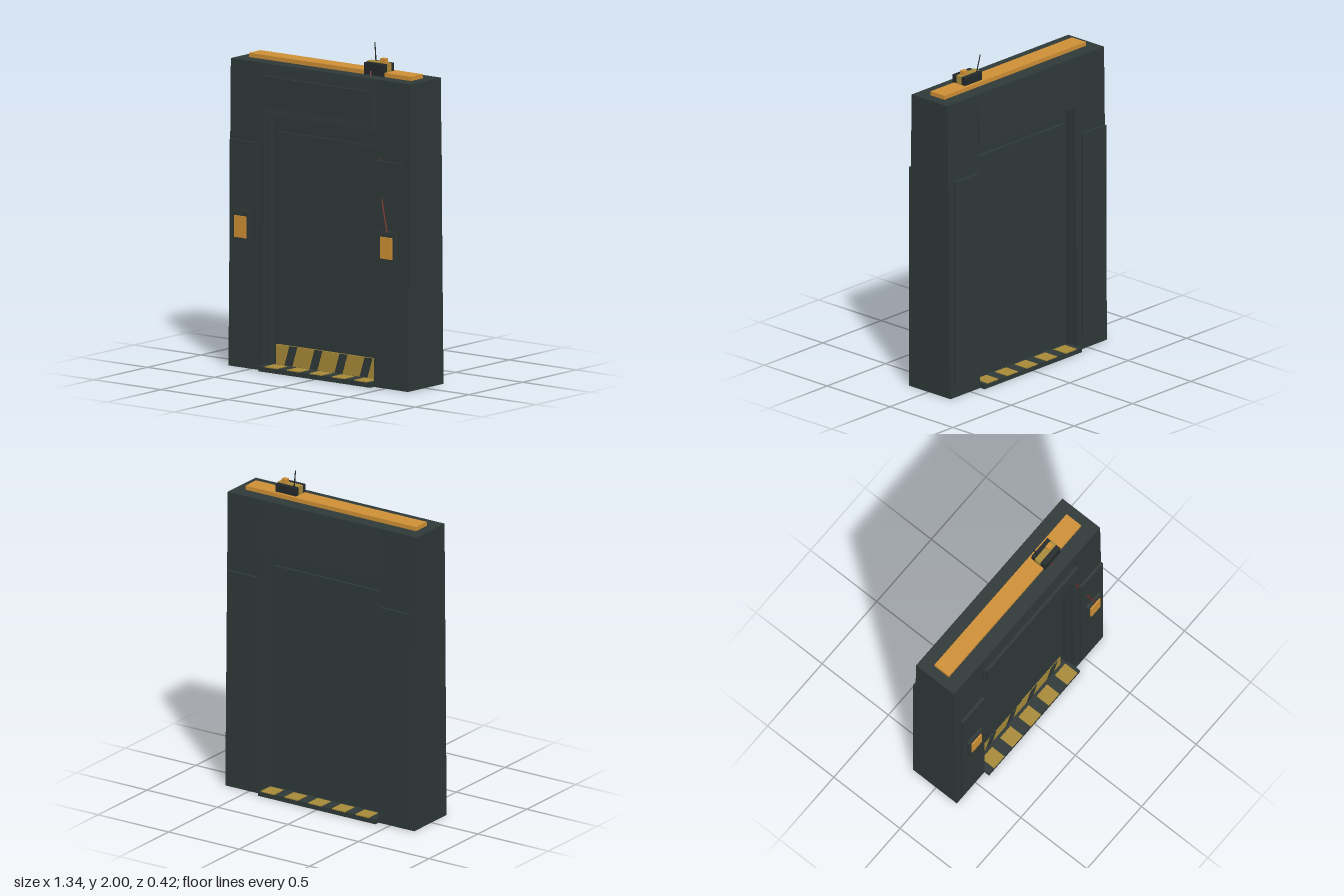
import * as THREE from 'three';

const mat = (name, color) => {
  const m = new THREE.MeshStandardMaterial({ color });
  m.name = name;
  return m;
};

export function createModel() {
  const root = new THREE.Group();
  root.name = 'liftDoorway';
  const steel = mat('darkSteel', 0x2f3938);
  const black = mat('blackPlastic', 0x23292b);
  const orange = mat('orangeLamp', 0xcf9035);
  const yellow = mat('hazardYellow', 0xa88a38);
  const red = mat('redCable', 0x73302a);

  const add = (name, geometry, material) => {
    const mesh = new THREE.Mesh(geometry, material);
    mesh.name = name;
    root.add(mesh);
    return mesh;
  };
  // Box given by its min and max on each axis
  const box = (name, material, x0, x1, y0, y1, z0, z1) => {
    const mesh = add(name, new THREE.BoxGeometry(x1 - x0, y1 - y0, z1 - z0), material);
    mesh.position.set((x0 + x1) / 2, (y0 + y1) / 2, (z0 + z1) / 2);
    return mesh;
  };
  // Side profile in (z, y), swept along x
  const prism = (name, material, x0, x1, profile) => {
    const shape = new THREE.Shape(profile.map(([z, y]) => new THREE.Vector2(z, y)));
    const geo = new THREE.ExtrudeGeometry(shape, { depth: x1 - x0, bevelEnabled: false });
    geo.rotateY(-Math.PI / 2);
    add(name, geo, material).position.x = x1;
  };

  // Tapered pillars with cover panels, jambs and call buttons
  for (const s of [-1, 1]) {
    const side = s > 0 ? 'left' : 'right';
    const mirrored = (name, material, a, b, ...rest) =>
      box(side + name, material, Math.min(s * a, s * b), Math.max(s * a, s * b), ...rest);
    prism(side + 'Pillar', steel, s > 0 ? 0.415 : -0.67, s > 0 ? 0.67 : -0.415,
      [[-0.175, 0], [0.157, 0], [0.135, 1.82], [-0.15, 1.82]]);
    mirrored('FrontPanel', steel, 0.443, 0.643, 0.1, 1.35, 0.163, 0.18);
    mirrored('BackPanel', steel, 0.443, 0.643, 0.1, 1.35, -0.195, -0.179);
    mirrored('Jamb', steel, 0.404, 0.416, 0.03, 1.525, -0.13, 0.112);
    mirrored('ButtonBox', steel, 0.482, 0.605, 0.748, 0.943, 0.178, 0.198);
    mirrored('Button', orange, 0.502, 0.587, 0.78, 0.908, 0.198, 0.207);
  }

  // Flared lintel and its sign panel
  prism('lintel', steel, -0.415, 0.415,
    [[-0.175, 1.52], [0.16, 1.52], [0.135, 1.82], [-0.15, 1.82]]);
  box('lintelPanel', steel, -0.417, 0.415, 1.572, 1.752, 0.163, 0.18);

  // Recessed wall, front door leaves and back door panel
  box('doorWall', steel, -0.415, 0.415, 0.02, 1.53, -0.095, 0.068);
  box('rightDoorLeaf', steel, -0.375, 0.015, 0.17, 1.412, 0.06, 0.084);
  box('leftDoorLeaf', steel, 0.015, 0.375, 0.17, 1.412, 0.06, 0.081);
  box('backDoor', steel, -0.375, 0.375, 0.17, 1.412, -0.112, -0.09);

  // Kick plate with slanted dark stripes
  box('kickPlate', yellow, -0.375, 0.375, 0.03, 0.15, 0.06, 0.08);
  for (let i = 0; i < 4; i++) {
    const x = -0.312 + i * 0.187;
    const stripe = new THREE.Shape([
      new THREE.Vector2(x, 0.031), new THREE.Vector2(x + 0.057, 0.031),
      new THREE.Vector2(x + 0.095, 0.15), new THREE.Vector2(x + 0.038, 0.15)]);
    add('kickStripe', new THREE.ExtrudeGeometry(stripe, { depth: 0.003, bevelEnabled: false }), steel)
      .position.z = 0.08;
  }

  // Threshold with hazard blocks on both edges
  box('threshold', steel, -0.417, 0.415, 0, 0.03, -0.209, 0.192);
  for (let i = 0; i < 5; i++) {
    const x = -0.372 + i * 0.1675;
    box('frontHazardBlock', yellow, x, x + 0.095, 0.028, 0.034, 0.1, 0.193);
    box('backHazardBlock', yellow, x, x + 0.095, 0.028, 0.034, -0.21, -0.115);
  }

  // Light bar and radio box on top
  box('lightBar', orange, -0.607, 0.604, 1.81, 1.845, -0.064, 0.045);
  box('radioBox', black, 0.26, 0.405, 1.822, 1.893, -0.045, 0.055);
  box('radioStrap', yellow, 0.256, 0.409, 1.845, 1.897, -0.017, 0.022);
  box('radioKnob', orange, 0.35, 0.384, 1.895, 1.921, -0.014, 0.016);

  // Leaning antenna
  const from = new THREE.Vector3(0.287, 1.885, -0.024);
  const to = new THREE.Vector3(0.268, 2, -0.037);
  const antenna = add('antenna', new THREE.CylinderGeometry(0.003, 0.004, from.distanceTo(to), 6), black);
  antenna.position.lerpVectors(from, to, 0.5);
  antenna.quaternion.setFromUnitVectors(new THREE.Vector3(0, 1, 0), to.clone().sub(from).normalize());

  // Cable from the radio box down to the left call button
  const path = new THREE.CatmullRomCurve3([
    [0.31, 1.845, 0.055], [0.325, 1.79, 0.07], [0.395, 1.52, 0.11],
    [0.45, 1.32, 0.143], [0.5, 1.1, 0.181], [0.547, 0.935, 0.198],
  ].map((p) => new THREE.Vector3(...p)));
  add('cable', new THREE.TubeGeometry(path, 32, 0.005, 6), red);

  return root;
}
